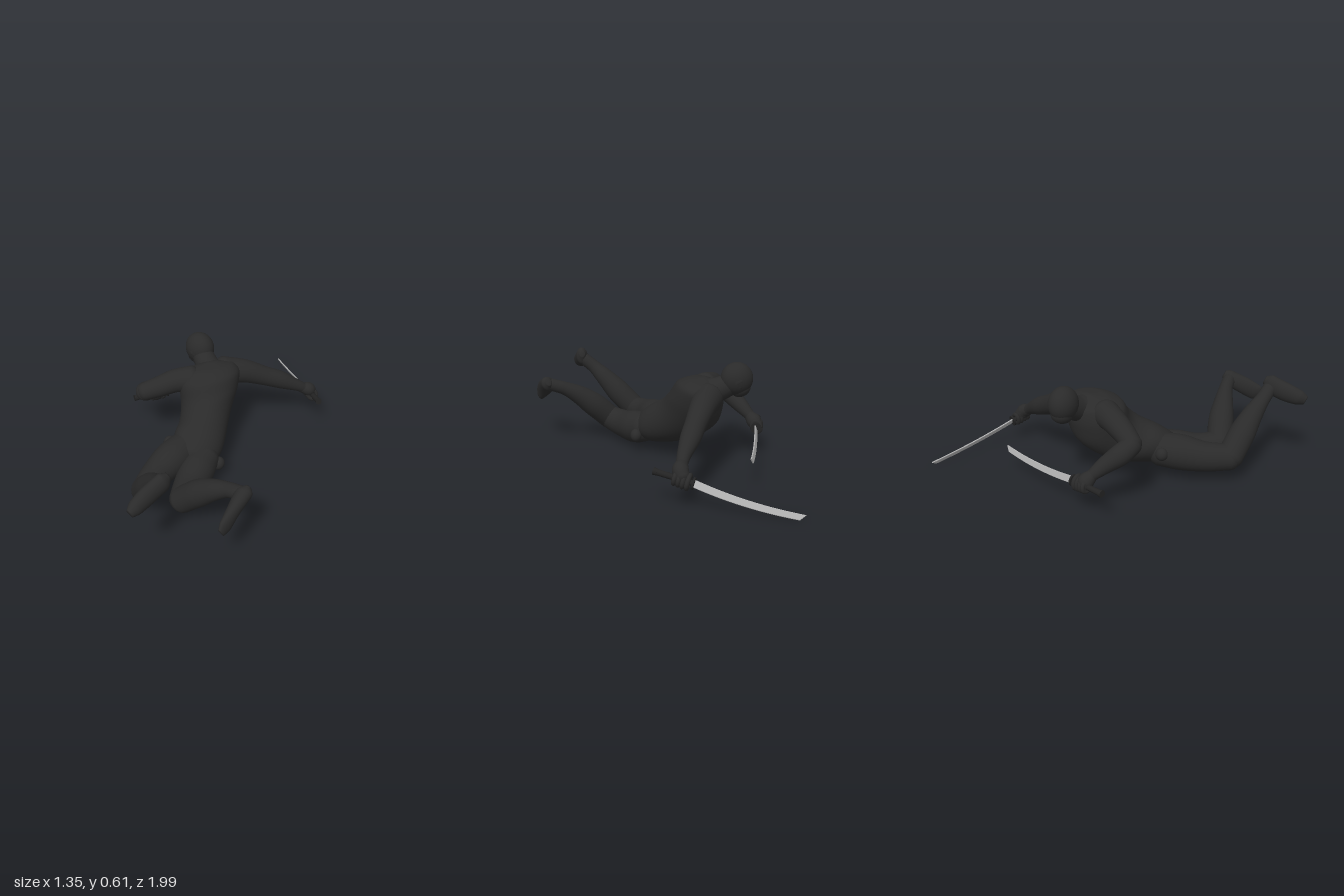
import * as THREE from 'three';

const V = (a) => new THREE.Vector3(a[0], a[1], a[2]);
const cloth = new THREE.MeshStandardMaterial({ color: 0x2a2a2a });
cloth.name = 'charcoalCloth';
const grip = new THREE.MeshStandardMaterial({ color: 0x232323 });
grip.name = 'blackGrip';
const steel = new THREE.MeshStandardMaterial({ color: 0xb0b0b0 });
steel.name = 'greySteel';

function add(parent, name, geometry, material) {
  const mesh = new THREE.Mesh(geometry, material);
  mesh.name = name;
  parent.add(mesh);
  return mesh;
}

// Closed skin over elliptical sections { c: centre, l and t: half axes }
function skin(sections, sides = 24) {
  const pos = [], idx = [], n = sections.length;
  for (const { c, l, t } of sections) {
    for (let j = 0; j < sides; j++) {
      const a = (j / sides) * Math.PI * 2;
      const p = c.clone().addScaledVector(l, Math.cos(a)).addScaledVector(t, Math.sin(a));
      pos.push(p.x, p.y, p.z);
    }
  }
  pos.push(...sections[0].c.toArray(), ...sections[n - 1].c.toArray());
  const mid = sections[n >> 1];
  const along = sections[(n >> 1) + 1].c.clone().sub(mid.c);
  const flip = mid.l.clone().cross(mid.t).dot(along) < 0;
  const tri = (a, b, c) => (flip ? idx.push(a, c, b) : idx.push(a, b, c));
  for (let j = 0; j < sides; j++) {
    const k = (j + 1) % sides;
    for (let i = 0; i < n - 1; i++) {
      const a = i * sides, b = a + sides;
      tri(a + j, a + k, b + k);
      tri(a + j, b + k, b + j);
    }
    const e = (n - 1) * sides;
    tri(n * sides, k, j);
    tri(n * sides + 1, e + j, e + k);
  }
  const g = new THREE.BufferGeometry();
  g.setAttribute('position', new THREE.Float32BufferAttribute(pos, 3));
  g.setIndex(idx);
  g.computeVertexNormals();
  return g;
}

// Round limb through [x, y, z, radius] points, with domed ends
function limb(points, sides = 20, steps = 24) {
  const path = new THREE.CatmullRomCurve3(points.map(V));
  const size = new THREE.CatmullRomCurve3(points.map((p) => new THREE.Vector3(p[3], 0, 0)));
  const sections = [];
  const ref = new THREE.Vector3(0.25, 1, 0.1).normalize();
  const ring = (u, shift, scale) => {
    const tan = path.getTangent(u), r = size.getPoint(u).x;
    const l = ref.clone().cross(tan).normalize(), t = tan.clone().cross(l);
    sections.push({
      c: path.getPoint(u).addScaledVector(tan, shift * r),
      l: l.multiplyScalar(r * scale), t: t.multiplyScalar(r * scale),
    });
  };
  const dome = [0.1, 0.4, 0.75, 1.1, 1.4];
  dome.forEach((a) => ring(0, -Math.cos(a) * 0.8, Math.sin(a)));
  for (let i = 0; i <= steps; i++) ring(i / steps, 0, 1);
  dome.slice().reverse().forEach((a) => ring(1, Math.cos(a) * 0.8, Math.sin(a)));
  return skin(sections, sides);
}

// Smooth body from rows of centre and two half axes
function loft(rows) {
  const curves = [0, 1, 2].map((k) => new THREE.CatmullRomCurve3(rows.map((r) => V(r[k]))));
  const sections = [];
  for (let i = 0; i <= 36; i++) {
    const [c, l, t] = curves.map((q) => q.getPoint(i / 36));
    sections.push({ c, l, t });
  }
  return skin(sections, 32);
}

// Sword with a gripping fist: local x runs from the guard to the tip, y is the blade's back
function sword(name, guard, tip, up) {
  const g = new THREE.Group();
  g.name = name;
  const x = V(tip).sub(V(guard)), len = x.length();
  x.normalize();
  const y = V(up).addScaledVector(x, -V(up).dot(x)).normalize();
  g.applyMatrix4(new THREE.Matrix4().makeBasis(x, y, x.clone().cross(y)).setPosition(V(guard)));

  // Curved blade with a slanted point
  const sag = (t) => -0.07 * t * (1 - t);
  const top = [], low = [];
  for (let i = 0; i <= 14; i++) {
    const t = i / 14, h = 0.018 - 0.004 * t;
    top.push(new THREE.Vector2(t * len, sag(t) + h));
    low.push(new THREE.Vector2(t * len * 0.96, sag(t * 0.96) - h));
  }
  const blade = new THREE.ExtrudeGeometry(new THREE.Shape([...low, ...top.reverse()]), {
    depth: 0.004, bevelEnabled: true, bevelSize: 0.002, bevelThickness: 0.002, bevelSegments: 1,
  });
  add(g, 'blade', blade.translate(0, 0, -0.002), steel);

  // Guard, handle and pommel
  const rod = (part, r1, r2, length, at) => {
    const m = add(g, part, new THREE.CylinderGeometry(r1, r2, length, 16), grip);
    m.rotation.z = -Math.PI / 2;
    m.position.x = at;
  };
  rod('guard', 0.032, 0.032, 0.01, 0);
  rod('handle', 0.014, 0.017, 0.2, -0.1);
  rod('pommel', 0.018, 0.02, 0.02, -0.205);

  // Fingers wrapped around the handle
  for (let i = 0; i < 4; i++) {
    const f = add(g, 'finger', new THREE.TorusGeometry(0.026, 0.013, 8, 16), cloth);
    f.rotation.y = Math.PI / 2;
    f.position.x = -0.028 - i * 0.023;
    f.scale.y = 1.25 - i * 0.05;
  }
  return g;
}

export function createModel() {
  const model = new THREE.Group();
  model.name = 'divingSwordsman';
  const ball = (name, p, s) => {
    const m = add(model, name, new THREE.SphereGeometry(1, 28, 20), cloth);
    m.position.set(...p);
    m.scale.set(...s);
    return m;
  };
  const part = (name, pts) => add(model, name, limb(pts), cloth);

  // Torso, twisting from the shoulders to the hips
  add(model, 'torso', loft([
    [[-0.265, 0.51, -0.1], [0.01, 0, -0.03], [0.02, 0.01, 0.01]],
    [[-0.25, 0.485, -0.09], [0.05, 0, -0.135], [0.09, 0.03, 0.03]],
    [[-0.225, 0.425, -0.065], [0.055, 0, -0.18], [0.13, 0.06, 0.04]],
    [[-0.195, 0.33, -0.03], [0.055, 0, -0.165], [0.135, 0.08, 0.05]],
    [[-0.125, 0.235, 0.075], [0.09, 0, -0.118], [0.075, 0.112, 0.055]],
    [[-0.035, 0.18, 0.21], [0.122, -0.03, -0.07], [0.03, 0.108, 0.03]],
    [[0, 0.155, 0.3], [0.09, -0.02, -0.05], [0.02, 0.08, 0.02]],
    [[0.012, 0.15, 0.36], [0.02, 0, -0.01], [0, 0.02, 0]],
  ]), cloth);

  // Hooded head and neck
  ball('head', [-0.413, 0.517, -0.158], [0.094, 0.095, 0.081]);
  part('jaw', [[-0.41, 0.515, -0.158, 0.082], [-0.425, 0.485, -0.158, 0.076], [-0.437, 0.46, -0.158, 0.06]]);
  part('neck', [[-0.26, 0.43, -0.11, 0.085], [-0.32, 0.455, -0.13, 0.07], [-0.385, 0.49, -0.15, 0.064]]);

  // Right arm, stretched out behind
  part('rightArm', [[-0.235, 0.42, -0.19, 0.086], [-0.175, 0.395, -0.3, 0.072], [-0.105, 0.337, -0.42, 0.059],
    [-0.06, 0.297, -0.5, 0.056], [0, 0.237, -0.6, 0.037], [0.02, 0.21, -0.64, 0.031]]);
  part('rightHand', [[0.018, 0.21, -0.635, 0.032], [0.035, 0.19, -0.675, 0.043], [0.03, 0.165, -0.7, 0.038]]);

  // Left arm, bent at the elbow
  part('leftUpperArm', [[-0.28, 0.435, 0.03, 0.08], [-0.335, 0.43, 0.1, 0.07], [-0.39, 0.4, 0.185, 0.062],
    [-0.445, 0.37, 0.255, 0.054]]);
  part('leftForearm', [[-0.445, 0.37, 0.255, 0.054], [-0.49, 0.33, 0.215, 0.058], [-0.54, 0.27, 0.14, 0.046],
    [-0.58, 0.22, 0.085, 0.032]]);
  part('leftHand', [[-0.58, 0.22, 0.085, 0.033], [-0.6, 0.19, 0.06, 0.045], [-0.61, 0.17, 0.05, 0.04]]);

  // Left leg
  part('leftThigh', [[-0.07, 0.17, 0.28, 0.098], [-0.055, 0.165, 0.38, 0.102], [-0.025, 0.15, 0.52, 0.086],
    [0.035, 0.145, 0.655, 0.075]]);
  part('leftShin', [[0.035, 0.15, 0.655, 0.075], [0.12, 0.24, 0.685, 0.076], [0.22, 0.35, 0.725, 0.058],
    [0.29, 0.42, 0.76, 0.042], [0.345, 0.465, 0.78, 0.04]]);
  add(model, 'leftFoot', loft([
    [[0.365, 0.51, 0.745], [0, 0.02, 0.008], [0.018, 0, 0]],
    [[0.362, 0.488, 0.78], [0, 0.052, 0.021], [0.038, 0, 0]],
    [[0.358, 0.455, 0.87], [0, 0.052, 0.02], [0.04, 0, 0]],
    [[0.363, 0.43, 0.95], [0, 0.042, 0.018], [0.036, 0, 0]],
    [[0.368, 0.417, 0.99], [0, 0.024, 0.01], [0.02, 0, 0]],
  ]), cloth);

  // Right leg
  part('rightThigh', [[0.045, 0.14, 0.23, 0.088], [0.083, 0.12, 0.32, 0.1], [0.14, 0.11, 0.43, 0.087],
    [0.215, 0.125, 0.54, 0.074]]);
  part('rightShin', [[0.215, 0.125, 0.54, 0.074], [0.31, 0.215, 0.515, 0.075], [0.42, 0.3, 0.495, 0.058],
    [0.51, 0.35, 0.48, 0.041], [0.59, 0.378, 0.475, 0.038]]);
  add(model, 'rightFoot', loft([
    [[0.61, 0.405, 0.437], [0, 0.02, 0.01], [0.018, 0.005, 0]],
    [[0.61, 0.385, 0.47], [0, 0.04, 0.02], [0.043, 0.01, -0.01]],
    [[0.63, 0.34, 0.56], [0, 0.043, 0.024], [0.036, 0.015, 0]],
    [[0.648, 0.3, 0.63], [0, 0.045, 0.026], [0.024, 0.008, 0]],
    [[0.658, 0.28, 0.67], [0, 0.026, 0.014], [0.012, 0, 0]],
  ]), cloth);

  // Round hip pads
  ball('leftHipPad', [-0.158, 0.185, 0.315], [0.034, 0.038, 0.036]);
  ball('rightHipPad', [0.11, 0.108, 0.178], [0.034, 0.04, 0.038]);

  // Two curved swords
  model.add(sword('rightSword', [-0.02, 0.135, -0.73], [-0.51, 0.018, -0.995], [-0.1, 0.8, 0.45]));
  model.add(sword('leftSword', [-0.587, 0.17, -0.02], [-0.385, 0.158, -0.548], [0.35, 0.9, 0]));
  return model;
}
